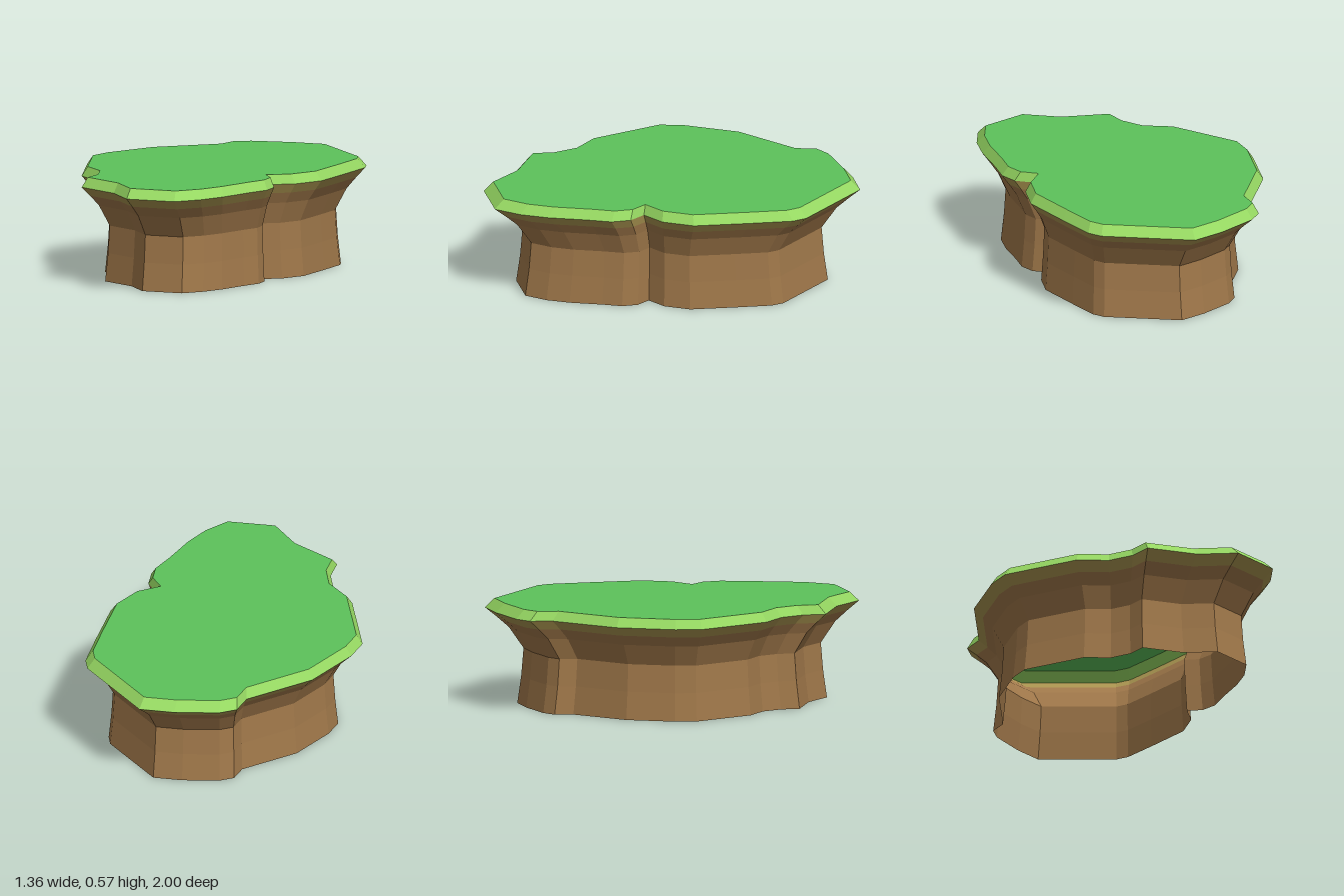
import * as THREE from 'three';

// Widest outline of the island, as [x, z], running from the back round the model's left
const OUTLINE = [
  [0.10, -1.00], [0.53, -0.74], [0.575, -0.67], [0.62, -0.45], [0.675, -0.15], [0.63, 0.02],
  [0.535, 0.125], [0.615, 0.19], [0.645, 0.29], [0.625, 0.42], [0.605, 0.63], [0.57, 0.78],
  [0.50, 0.92], [0.24, 0.995], [0.06, 0.87], [-0.205, 0.80], [-0.225, 0.68], [-0.30, 0.56],
  [-0.45, 0.475], [-0.68, 0.12], [-0.68, -0.02], [-0.60, -0.33], [-0.37, -0.66],
  [-0.37, -0.78], [-0.30, -0.85], [-0.08, -0.95],
];

// Cross-section rings: height, scale of the outline, and sideways shift
const ring = (y, s, shift = 0.1 * (1 - s)) =>
  OUTLINE.map(([x, z]) => new THREE.Vector3(x * s + shift, y, z * s));

const BASE = ring(0, 0.828);
const LOWER = ring(0.15, 0.807);
const WAIST = ring(0.297, 0.795);
const FLARE = ring(0.41, 0.873);
const UNDER_RIM = ring(0.467, 0.938);
const RIM = ring(0.517, 1);
const TOP = ring(0.567, 0.95, 0);

// Joins rings, listed from bottom to top, with quads facing outward
function band(rings) {
  const pos = [];
  for (let r = 0; r < rings.length - 1; r++) {
    const lo = rings[r], hi = rings[r + 1], n = lo.length;
    for (let i = 0; i < n; i++) {
      const j = (i + 1) % n;
      for (const v of [lo[i], hi[i], lo[j], lo[j], hi[i], hi[j]]) pos.push(v.x, v.y, v.z);
    }
  }
  const g = new THREE.BufferGeometry();
  g.setAttribute('position', new THREE.Float32BufferAttribute(pos, 3));
  g.computeVertexNormals();
  return g;
}

function material(name, color) {
  const m = new THREE.MeshStandardMaterial({ color, flatShading: true, side: THREE.DoubleSide });
  m.name = name;
  return m;
}

export function createModel() {
  const group = new THREE.Group();
  group.name = 'grassyIsland';
  const add = (name, geometry, mat) => {
    const mesh = new THREE.Mesh(geometry, mat);
    mesh.name = name;
    group.add(mesh);
  };

  // Earth walls, open underneath
  add('earthWall', band([BASE, LOWER, WAIST, FLARE, UNDER_RIM]), material('earthBrown', 0xa0784a));
  // Narrow mossy strip below the grass
  add('mossStrip', band([UNDER_RIM, RIM]), material('mossTan', 0xa8934f));
  // Bevelled grass edge
  add('grassEdge', band([RIM, TOP]), material('lightGrass', 0x96d862));
  // Flat grass top
  const shape = new THREE.Shape(TOP.map((v) => new THREE.Vector2(v.x, -v.z)));
  const top = new THREE.ShapeGeometry(shape).rotateX(-Math.PI / 2).translate(0, TOP[0].y, 0);
  add('grassTop', top, material('grassGreen', 0x5dc25a));

  return group;
}
